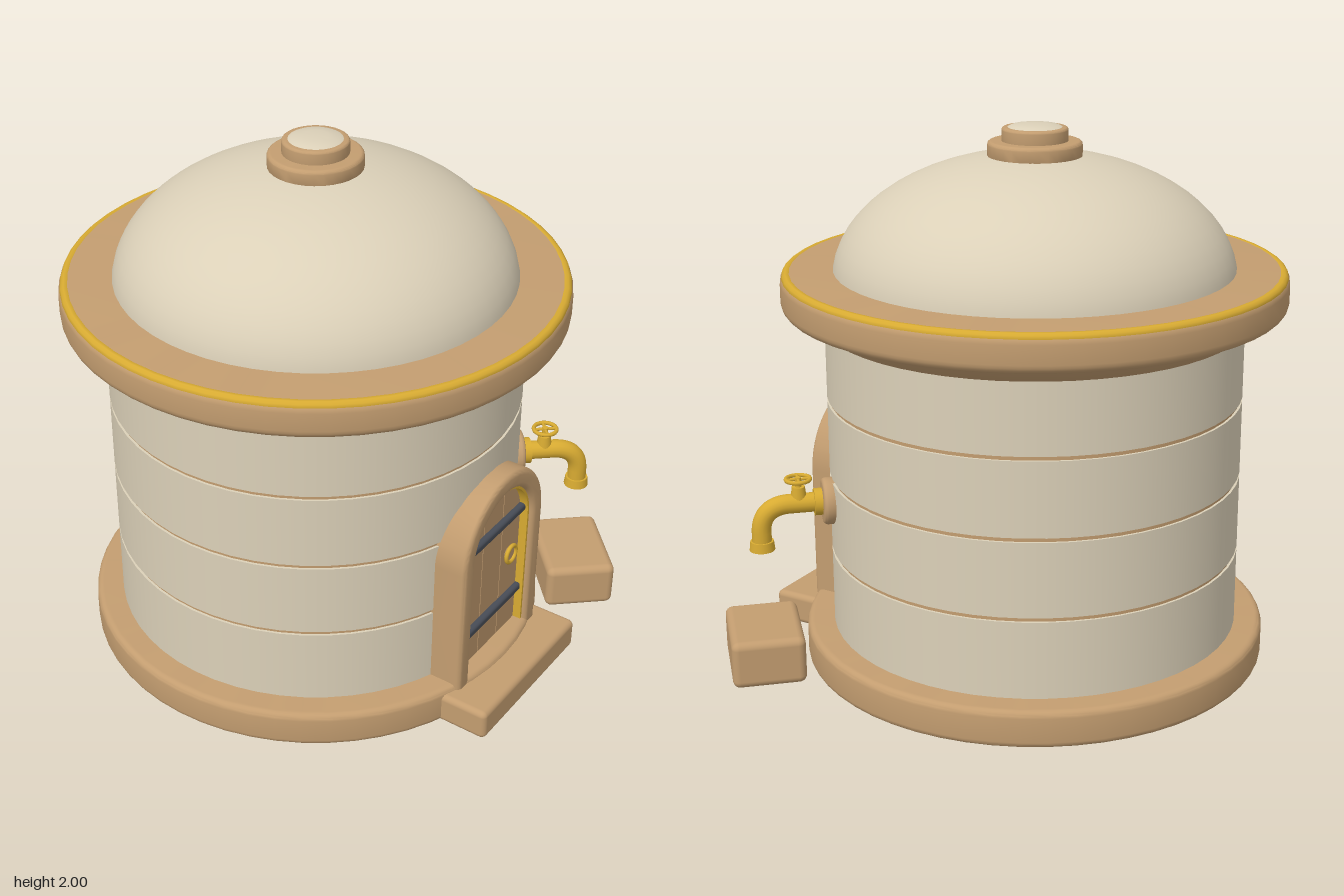
import * as THREE from 'three';
import { toCreasedNormals } from 'three/addons/utils/BufferGeometryUtils.js';
import { RoundedBoxGeometry } from 'three/addons/geometries/RoundedBoxGeometry.js';

const SIDES = 56;
const mat = (name, color) => new THREE.MeshStandardMaterial({ name, color });

export function createModel() {
  const plaster = mat('cream plaster', 0xdbd0b8);
  const stone = mat('tan stone', 0xc39d70);
  const wood = mat('door wood', 0xb9946a);
  const seam = mat('dark seam', 0x8a6a45);
  const gold = mat('gold', 0xd8ab32);
  const iron = mat('dark iron', 0x474c56);

  const model = new THREE.Group();
  model.name = 'domedTower';
  // The round body sits slightly back so the step and tap balance it
  const body = new THREE.Group();
  body.name = 'roundBody';
  body.position.z = -0.035;
  model.add(body);

  const add = (parent, name, geo, material, x = 0, y = 0, z = 0) => {
    const mesh = new THREE.Mesh(geo, material);
    mesh.name = name;
    mesh.position.set(x, y, z);
    parent.add(mesh);
    return mesh;
  };
  const lathe = (pts, sides = SIDES) =>
    toCreasedNormals(new THREE.LatheGeometry(pts.map(p => new THREE.Vector2(p[0], p[1])), sides), 0.6);
  // Solid disc with rounded rims
  const disc = (r, y0, y1, b, sides = SIDES) => {
    const pts = [[0, y0], [r - b - 0.005, y0]];
    for (let i = 0; i <= 5; i++) {
      const a = (i / 5) * Math.PI / 2;
      pts.push([r - b + b * Math.sin(a), y0 + b - b * Math.cos(a)]);
    }
    for (let i = 0; i <= 5; i++) {
      const a = (i / 5) * Math.PI / 2;
      pts.push([r - b + b * Math.cos(a), y1 - b + b * Math.sin(a)]);
    }
    pts.push([r - b - 0.005, y1], [0, y1]);
    return lathe(pts, sides);
  };
  const rod = (r0, r1, h, sides = 20) => new THREE.CylinderGeometry(r0, r1, h, sides);

  // Base and walls: cream courses around a narrower core that shows in the grooves
  add(body, 'base', disc(0.866, 0, 0.14, 0.025), stone);
  add(body, 'wallCore', rod(0.755, 0.755, 1.2, SIDES), stone, 0, 0.7, 0);
  const grooves = [0.435, 0.727, 1.017];
  const edges = [0.12, ...grooves, 1.31];
  for (let i = 0; i < 4; i++) {
    const y0 = edges[i] + (i ? 0.008 : 0), y1 = edges[i + 1] - (i < 3 ? 0.008 : 0);
    add(body, 'wallCourse', rod(0.764, 0.764, y1 - y0, SIDES), plaster, 0, (y0 + y1) / 2, 0);
  }

  // Cornice, its flared underside and gilt rim
  add(body, 'corniceFlare', lathe([[0.755, 1.285], [0.77, 1.287], [0.845, 1.345], [0.845, 1.37]]), stone);
  add(body, 'cornice', disc(0.917, 1.35, 1.487, 0.035), stone);
  add(body, 'corniceTrim', new THREE.TorusGeometry(0.892, 0.02, 10, SIDES).rotateX(Math.PI / 2), gold, 0, 1.469, 0);

  // Dome and finial
  const domePts = [];
  for (let i = 0; i <= 16; i++) {
    const a = (i / 16) * Math.PI / 2;
    domePts.push([0.73 * Math.cos(a), 1.45 + 0.45 * Math.sin(a)]);
  }
  domePts[16][0] = 0;
  add(body, 'dome', lathe(domePts), plaster);
  add(body, 'finialRing', disc(0.17, 1.875, 1.94, 0.014, 32), stone);
  add(body, 'finialCap', disc(0.119, 1.93, 1.988, 0.01, 32), stone);
  add(body, 'finialTop', lathe([[0.105, 1.984], [0.085, 1.994], [0.045, 1.999], [0, 2]], 32), plaster);

  // Doorway
  const door = new THREE.Group();
  door.name = 'doorway';
  model.add(door);
  const ARCH_Y = 0.635, FOOT = 0.1;
  const archBand = (ro, ri) => {
    const s = new THREE.Shape();
    s.moveTo(ro, FOOT);
    s.lineTo(ro, ARCH_Y);
    s.absarc(0, ARCH_Y, ro, 0, Math.PI, false);
    s.lineTo(-ro, FOOT);
    s.lineTo(-ri, FOOT);
    s.lineTo(-ri, ARCH_Y);
    s.absarc(0, ARCH_Y, ri, Math.PI, 0, true);
    s.lineTo(ri, FOOT);
    return s;
  };
  const frameGeo = new THREE.ExtrudeGeometry(archBand(0.255, 0.222), {
    depth: 0.18, bevelEnabled: true, bevelSize: 0.02, bevelThickness: 0.02, bevelSegments: 4, curveSegments: 24,
  });
  add(door, 'doorFrame', toCreasedNormals(frameGeo, 0.6), stone, 0, 0, 0.6);
  const trimGeo = new THREE.ExtrudeGeometry(archBand(0.208, 0.193), { depth: 0.1, bevelEnabled: false, curveSegments: 24 });
  add(door, 'doorTrim', toCreasedNormals(trimGeo, 0.6), gold, 0, 0, 0.682);

  // Three planks, clipped to the arch, over a dark backing
  const archTop = x => ARCH_Y + Math.sqrt(Math.max(0, 0.2 * 0.2 - x * x));
  const plank = (x0, x1) => {
    const s = new THREE.Shape();
    s.moveTo(x0, FOOT);
    s.lineTo(x1, FOOT);
    for (let i = 0; i <= 10; i++) {
      const x = x1 + (x0 - x1) * i / 10;
      s.lineTo(x, archTop(x));
    }
    return new THREE.ExtrudeGeometry(s, { depth: 0.06, bevelEnabled: false });
  };
  add(door, 'doorBacking', plank(-0.2, 0.2), seam, 0, 0, 0.682);
  for (let i = 0; i < 3; i++) {
    const x0 = -0.2 + i * 0.4 / 3;
    add(door, 'doorPlank', plank(x0 + (i ? 0.002 : 0), x0 + 0.4 / 3 - (i < 2 ? 0.002 : 0)), wood, 0, 0, 0.69);
  }
  for (const y of [0.29, 0.66])
    add(door, 'doorStrap', new RoundedBoxGeometry(0.405, 0.034, 0.03, 3, 0.012), iron, 0, y, 0.757);
  add(door, 'handlePlate', rod(0.026, 0.026, 0.012).rotateX(Math.PI / 2), wood, 0.12, 0.487, 0.756);
  add(door, 'handleRing', new THREE.TorusGeometry(0.034, 0.008, 10, 24), gold, 0.12, 0.487, 0.764);
  add(door, 'doorStep', new RoundedBoxGeometry(0.666, 0.12, 0.245, 4, 0.022), stone, 0, 0.06, 0.823);

  // Tap and the block beneath it, turned to face outward from the wall
  const tap = new THREE.Group();
  tap.name = 'tap';
  tap.rotation.y = THREE.MathUtils.degToRad(42);
  body.add(tap);
  add(tap, 'tapBlock', new RoundedBoxGeometry(0.365, 0.18, 0.27, 4, 0.028), stone, 0, 0.09, 1.03);
  add(tap, 'tapRose', disc(0.087, 0, 0.055, 0.016, 28).rotateX(Math.PI / 2), stone, 0, 0.64, 0.745);
  add(tap, 'tapCollar', rod(0.05, 0.05, 0.035).rotateX(Math.PI / 2), gold, 0, 0.64, 0.812);
  const path = new THREE.CurvePath();
  const P = (y, z) => new THREE.Vector3(0, y, z);
  path.add(new THREE.LineCurve3(P(0.64, 0.76), P(0.64, 0.92)));
  path.add(new THREE.CubicBezierCurve3(P(0.64, 0.92), P(0.64, 0.98), P(0.61, 1.025), P(0.54, 1.025)));
  path.add(new THREE.LineCurve3(P(0.54, 1.025), P(0.475, 1.025)));
  add(tap, 'spout', new THREE.TubeGeometry(path, 36, 0.036, 16), gold);
  add(tap, 'nozzle', rod(0.043, 0.047, 0.035), gold, 0, 0.487, 1.025);
  add(tap, 'valveBody', rod(0.024, 0.03, 0.05), gold, 0, 0.68, 0.885);
  add(tap, 'valveStem', rod(0.012, 0.012, 0.06, 12), gold, 0, 0.71, 0.885);
  add(tap, 'valveWheel', new THREE.TorusGeometry(0.044, 0.008, 8, 24).rotateX(Math.PI / 2), gold, 0, 0.733, 0.885);
  for (const turn of [0, Math.PI / 2])
    add(tap, 'wheelSpoke', rod(0.006, 0.006, 0.088, 8).rotateZ(Math.PI / 2).rotateY(turn), gold, 0, 0.733, 0.885);

  return model;
}
